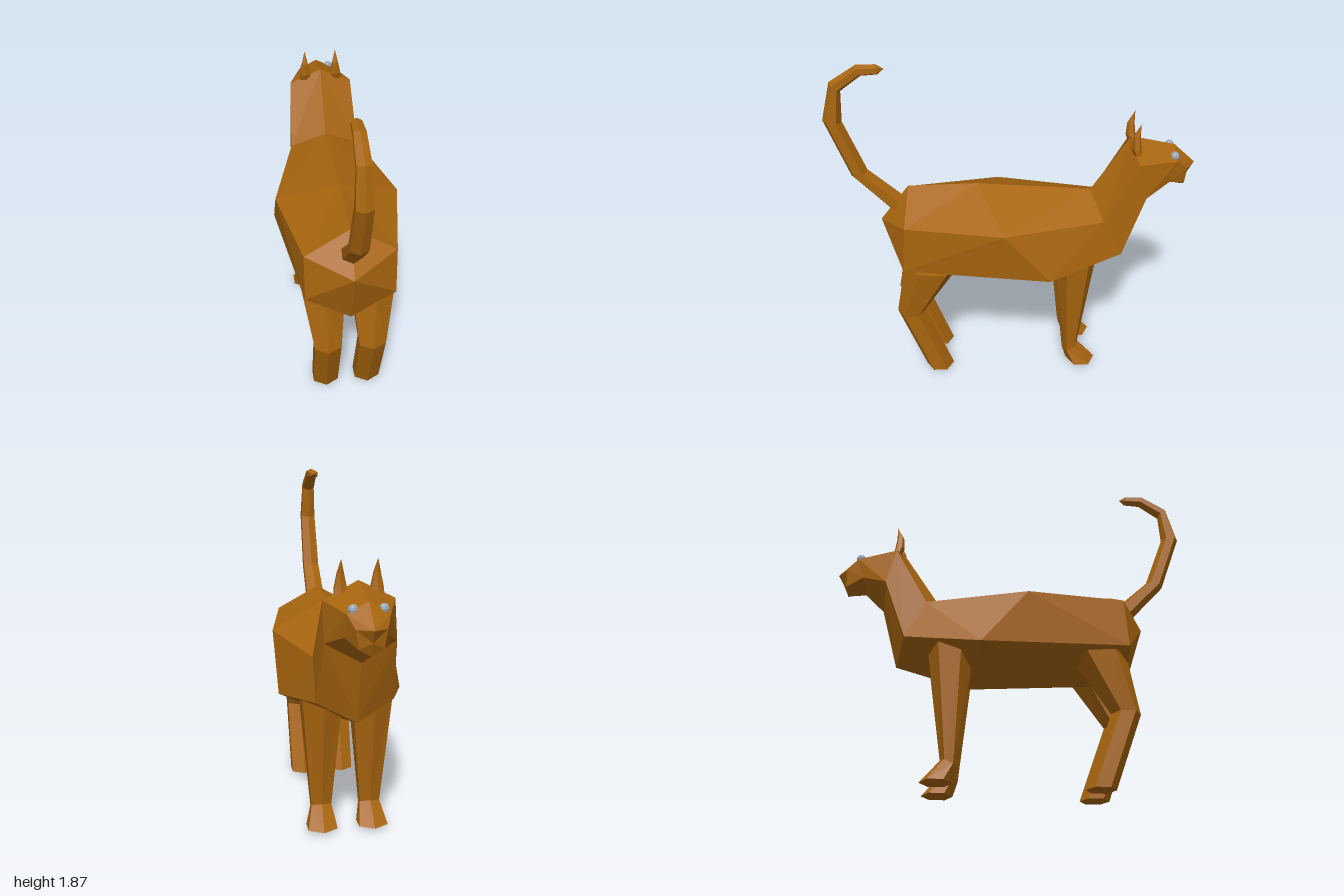
import * as THREE from 'three';

const fur = new THREE.MeshStandardMaterial({ color: 0xa8650f, flatShading: true });
const eyeMat = new THREE.MeshStandardMaterial({ color: 0x9aa8b4, flatShading: true });

// Flat-shaded skin over a list of rings, closed at both ends (optional end apexes)
function loft(name, rings, startTip, endTip) {
  const pos = [];
  const tri = (...pts) => pts.forEach((p) => pos.push(...p));
  const centre = (r) => [0, 1, 2].map((k) => r.reduce((s, p) => s + p[k], 0) / r.length);
  const first = rings[0], last = rings[rings.length - 1], n = first.length;
  const c0 = startTip || centre(first), c1 = endTip || centre(last);
  for (let i = 0; i < n; i++) {
    const j = (i + 1) % n;
    tri(c0, first[j], first[i]);
    for (let r = 0; r < rings.length - 1; r++) {
      const a = rings[r], b = rings[r + 1];
      // diagonals mirrored so that both sides match
      if (i < n / 2) tri(a[i], a[j], b[i], a[j], b[j], b[i]);
      else tri(a[i], a[j], b[j], a[i], b[j], b[i]);
    }
    tri(c1, last[i], last[j]);
  }
  const geo = new THREE.BufferGeometry();
  geo.setAttribute('position', new THREE.Float32BufferAttribute(pos, 3));
  geo.computeVertexNormals();
  const mesh = new THREE.Mesh(geo, fur);
  mesh.name = name;
  return mesh;
}

// Six-sided limb section from point p to point q, both [y, z], with half width w about x = cx
function hex(p, q, w, cx = 0) {
  const at = (t, x) => [cx + x, p[0] + (q[0] - p[0]) * t, p[1] + (q[1] - p[1]) * t];
  return [at(0, 0), at(0.25, w), at(0.75, w), at(1, 0), at(0.75, -w), at(0.25, -w)];
}

// Six-sided body section: ridge [y, z], upper side [x, y, z], lower side [x, y, z], keel [y, z]
function section([ridge, up, low, keel]) {
  const flip = ([x, y, z]) => [-x, y, z];
  return [[0, ...ridge], up, low, [0, ...keel], flip(low), flip(up)];
}

export function createModel() {
  const cat = new THREE.Group();
  cat.name = 'cat';

  // Body, neck and head, from rump to muzzle
  const body = [
    [[1.165, 0.58], [0.24, 1.03, 0.6], [0.24, 0.76, 0.62], [0.62, 0.63]],
    [[1.168, 0.2], [0.34, 1.02, 0.07], [0.34, 0.725, -0.18], [0.58, -0.24]],
    [[1.11, -0.43], [0.2, 1.01, -0.48], [0.2, 0.8, -0.59], [0.7, -0.64]],
    [[1.43, -0.64], [0.18, 1.34, -0.66], [0.18, 1.14, -0.71], [1.04, -0.73]],
    [[1.375, -0.88], [0.105, 1.32, -0.88], [0.11, 1.2, -0.845], [1.15, -0.84]],
    [[1.265, -1.0], [0.075, 1.26, -0.945], [0.06, 1.165, -0.94], [1.13, -0.935]],
  ].map(section);
  cat.add(loft('body', body, [0, 0.96, 0.74], [0, 1.2, -0.965]));

  // Curled tail, outer and inner edge at each bend
  cat.add(loft('tail', [
    hex([0.98, 0.64], [1.08, 0.58], 0.053),
    hex([1.24, 0.88], [1.27, 0.79], 0.047),
    hex([1.57, 1.0], [1.56, 0.9], 0.042),
    hex([1.78, 0.945], [1.73, 0.89], 0.035),
    hex([1.87, 0.8], [1.81, 0.78], 0.03),
    hex([1.87, 0.7], [1.815, 0.695], 0.025),
  ], null, [0, 1.845, 0.66]));

  for (const s of [1, -1]) {
    const side = s > 0 ? 'Left' : 'Right';

    cat.add(loft('frontLeg' + side, [
      hex([0.8, -0.47], [0.72, -0.22], 0.11, s * 0.135),
      hex([0.14, -0.375], [0.1, -0.285], 0.055, s * 0.135),
      hex([0.02, -0.48], [0.02, -0.31], 0.08, s * 0.14),
    ]));

    cat.add(loft('backLeg' + side, [
      hex([0.72, 0.31], [0.74, 0.62], 0.115, s * 0.133),
      hex([0.41, 0.52], [0.41, 0.68], 0.072, s * 0.122),
      hex([0, 0.37], [0, 0.53], 0.07, s * 0.12),
    ]));

    // Pointed ear, from the tip down
    cat.add(loft('ear' + side, [
      hex([1.47, -0.67], [1.47, -0.63], 0.016, s * 0.09),
      hex([1.4, -0.68], [1.4, -0.625], 0.03, s * 0.09),
      hex([1.35, -0.69], [1.36, -0.64], 0.032, s * 0.09),
    ], [s * 0.09, 1.54, -0.67]));

    const eye = new THREE.Mesh(new THREE.SphereGeometry(0.026, 8, 6), eyeMat);
    eye.name = 'eye' + side;
    eye.position.set(s * 0.073, 1.338, -0.87);
    cat.add(eye);
  }
  return cat;
}
